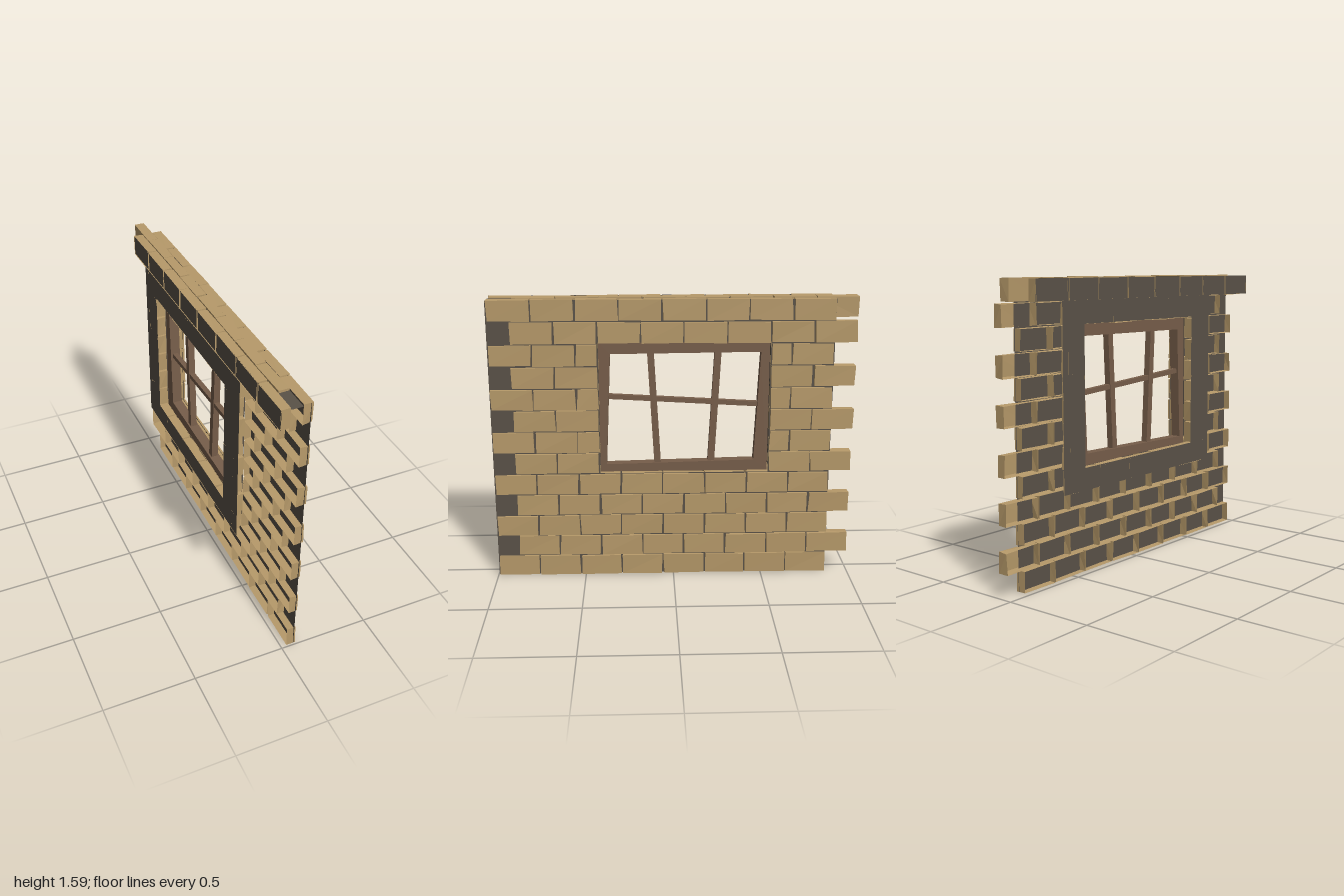
import * as THREE from 'three';
import { mergeGeometries } from 'three/addons/utils/BufferGeometryUtils.js';

const ROW = 0.122, PITCH = 0.2335, GAP = 0.009;
const WIN = { z0: -0.527, z1: 0.405, y0: 0.61, y1: 1.35 };

let seed = 7;
const jitter = (a) => {
  seed = (seed * 16807) % 2147483647;
  return (seed / 2147483647 - 0.5) * 2 * a;
};

// One rough brick facing +x, open at the back, with uneven corners.
function brick(d, h, w) {
  const g = new THREE.BoxGeometry(d, h, w);
  g.setIndex(Array.from(g.index.array).filter((_, i) => i < 6 || i > 11));
  const p = g.attributes.position, moved = {};
  for (let i = 0; i < p.count; i++) {
    const key = [p.getX(i) > 0, p.getY(i) > 0, p.getZ(i) > 0].join();
    const m = (moved[key] ??= [jitter(0.002), jitter(0.003), jitter(0.004)]);
    p.setXYZ(i, p.getX(i) + m[0], p.getY(i) + m[1], p.getZ(i) + m[2]);
  }
  const flat = g.toNonIndexed();
  flat.computeVertexNormals();
  return flat;
}

// Bricks of one course, counted down from zStart and kept inside the z spans.
function course(list, row, x, zStart, spans) {
  for (const [lo, hi] of spans) {
    for (let k = 0; k < 9; k++) {
      const b = Math.min(hi, zStart - k * PITCH);
      const a = Math.max(lo, zStart - (k + 1) * PITCH);
      if (b - a < 0.03) continue;
      const g = brick(0.052, ROW - GAP, b - a - GAP);
      list.push(g.translate(x, (row + 0.5) * ROW, (a + b) / 2));
    }
  }
}

const rect = (path, z0, y0, z1, y1) =>
  path.moveTo(z0, y0).lineTo(z1, y0).lineTo(z1, y1).lineTo(z0, y1).closePath();

export function createModel() {
  const group = new THREE.Group();
  const brickMat = new THREE.MeshStandardMaterial({ color: 0xb79a6a, flatShading: true, side: THREE.DoubleSide });
  const mortarMat = new THREE.MeshStandardMaterial({ color: 0x5a5248, side: THREE.DoubleSide });
  const woodMat = new THREE.MeshStandardMaterial({ color: 0x775e4a, flatShading: true });
  const add = (name, geometry, material) => {
    const m = new THREE.Mesh(geometry, material);
    m.name = name;
    group.add(m);
    return m;
  };
  // Shapes are drawn in (z, y) and turned to face along x.
  const sheet = (name, shape, x) =>
    add(name, new THREE.ShapeGeometry(shape).rotateY(-Math.PI / 2).translate(x, 0, 0), mortarMat);

  // Outer wall: thirteen staggered courses around the window opening
  const outer = [];
  for (let r = 0; r < 13; r++) {
    const odd = r % 2;
    const top = odd ? 0.875 : 0.993;
    const end = odd ? -0.995 : -0.872;
    const spans = r >= 5 && r <= 10 ? [[WIN.z1, top], [end, WIN.z0]] : [[end, top]];
    course(outer, r, 0.057, top, spans);
  }
  add('outerBricks', mergeGeometries(outer), brickMat);

  // Inner skin: top course and the surround of the window
  const inner = [];
  const s0 = -0.69, s1 = 0.58, inset = 0.04;
  course(inner, 12, -0.056, 0.993, [[-0.875, 0.993]]);
  for (let r = 4; r <= 11; r++) {
    const side = r >= 5 && r <= 10;
    const lo = s0 + inset, hi = s1 - inset;
    course(inner, r, -0.056, r % 2 ? 0.875 : 0.993, side ? [[WIN.z1, hi], [lo, WIN.z0]] : [[lo, hi]]);
  }
  add('innerBricks', mergeGeometries(inner), brickMat);

  // Coping: bricks lying face up between the two skins
  const coping = [];
  for (let k = 0; k < 8; k++) {
    const g = brick(0.112, 0.055, PITCH - GAP).rotateZ(Math.PI / 2);
    coping.push(g.translate(0, 1.529, 0.863 - (k + 0.5) * PITCH));
  }
  add('copingBricks', mergeGeometries(coping), brickMat);

  // Mortar sheets
  const wall = new THREE.Shape();
  rect(wall, -0.872, 0.004, 0.995, 1.578);
  const opening = new THREE.Path();
  rect(opening, WIN.z0, WIN.y0, WIN.z1, WIN.y1);
  wall.holes.push(opening);
  sheet('outerMortar', wall, 0.07);

  const surround = new THREE.Shape();
  rect(surround, s0, 0.492, s1, 1.47);
  surround.holes.push(opening);
  sheet('surroundMortar', surround, -0.083);
  const band = new THREE.Shape();
  rect(band, -0.87, 1.47, 0.995, 1.58);
  sheet('topCourseMortar', band, -0.079);

  const cap = new THREE.PlaneGeometry(0.06, 1.865).rotateX(-Math.PI / 2).translate(0, 1.573, 0.0625);
  add('copingMortar', cap, mortarMat);
  for (const z of [WIN.z0 - 0.004, WIN.z1 + 0.004]) {
    add('jambMortar', new THREE.PlaneGeometry(0.06, 0.71).translate(0, 0.995, z), mortarMat);
  }

  // Window frame with a crooked opening
  const frame = new THREE.Shape();
  rect(frame, WIN.z0, 0.606, WIN.z1, WIN.y1);
  const hole = new THREE.Path();
  hole.moveTo(0.342, 1.277).lineTo(0.37, 0.648).lineTo(-0.45, 0.667).lineTo(-0.48, 1.284).closePath();
  frame.holes.push(hole);
  const frameGeo = new THREE.ExtrudeGeometry(frame, { depth: 0.056, bevelEnabled: false });
  add('windowFrame', frameGeo.rotateY(-Math.PI / 2).translate(0.028, 0, 0), woodMat);

  // Glazing bars: [z, y] to [z, y], width, depth
  const bars = [
    [0.123, 1.29, 0.086, 0.645, 0.037, 0.036],
    [-0.246, 1.29, -0.212, 0.65, 0.037, 0.036],
    [0.365, 1.036, -0.475, 0.986, 0.026, 0.03],
  ];
  for (const [za, ya, zb, yb, w, d] of bars) {
    const bar = add('glazingBar', new THREE.BoxGeometry(d, w, Math.hypot(zb - za, yb - ya)), woodMat);
    bar.position.set(0, (ya + yb) / 2, (za + zb) / 2);
    bar.rotation.x = -Math.atan2(yb - ya, zb - za);
  }
  return group;
}
